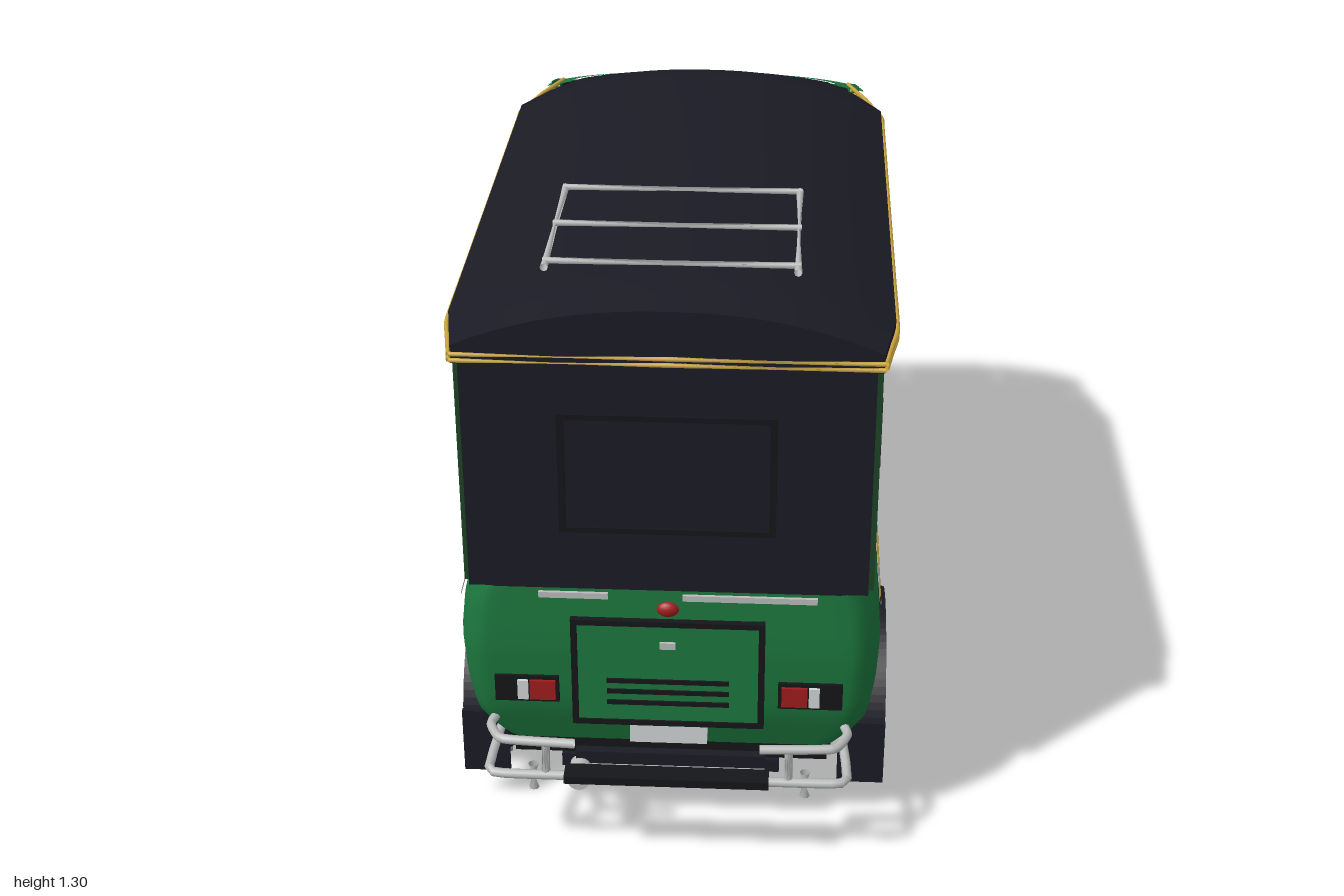
import * as THREE from 'three';

const paint = (name, color) => new THREE.MeshStandardMaterial({ name, color, side: THREE.DoubleSide });
const green = paint('body green', 0x1c773e), canvas = paint('canvas green', 0x1d4225), dark = paint('dark canopy', 0x1b1b25),
  black = paint('tyre black', 0x15161a), gold = paint('gold trim', 0xcba43e), silver = paint('silver', 0xbabcbc),
  red = paint('lamp red', 0xa01c1c), cream = paint('cream lining', 0xcfbd98), white = paint('lamp white', 0xd2d5d5);
const lerp = THREE.MathUtils.lerp, clamp = t => Math.min(1, Math.max(0, t));
const both = fn => [1, -1].forEach(fn);
// piecewise linear lookup in [[key, value], ...]
function look(table, t) {
  const i = table.findIndex(r => t <= r[0]);
  if (i < 1) return table[i < 0 ? table.length - 1 : 0][1];
  const [a, p] = table[i - 1], [b, q] = table[i];
  return p + (q - p) * (t - a) / (b - a);
}

export function createModel() {
  const g = new THREE.Group();
  g.name = 'threeWheeler';
  const add = (name, geo, mat, x = 0, y = 0, z = 0, parent = g) => {
    const m = new THREE.Mesh(geo, mat);
    m.name = name;
    m.position.set(x, y, z);
    parent.add(m);
    return m;
  };
  // box from its limits
  const box = (name, mat, x0, x1, y0, y1, z0, z1) => add(name, new THREE.BoxGeometry(Math.abs(x1 - x0), y1 - y0, z1 - z0),
    mat, (x0 + x1) / 2, (y0 + y1) / 2, (z0 + z1) / 2);
  const tube = (name, mat, r, ...pts) => add(name, new THREE.TubeGeometry(new THREE.CatmullRomCurve3(
    pts.map(p => new THREE.Vector3(...p)), false, 'catmullrom', 0.25), pts.length > 2 ? pts.length * 6 : 1, r, 8), mat);
  // grid surface from a rule (u, v) -> point
  const surface = (name, mat, fn, nu, nv) => {
    const pos = [], idx = [];
    for (let i = 0; i <= nu; i++) for (let j = 0; j <= nv; j++) pos.push(...fn(i / nu, j / nv));
    for (let i = 0; i < nu; i++) for (let j = 0; j < nv; j++) {
      const a = i * (nv + 1) + j, b = a + nv + 1;
      idx.push(a, b, a + 1, b, b + 1, a + 1);
    }
    const geo = new THREE.BufferGeometry();
    geo.setAttribute('position', new THREE.Float32BufferAttribute(pos, 3));
    geo.setIndex(idx);
    geo.computeVertexNormals();
    return add(name, geo, mat);
  };
  // rear tub, wrapping round the back with wheel arches cut in its lower edge
  const tubWidth = y => look([[.24, .36], [.3, .412], [.4, .428], [.5, .433], [.6, .422], [.65, .402]], y);
  const tubBack = y => look([[.24, .85], [.35, .89], [.5, .905], [.65, .9]], y);
  surface('rearTub', green, (u, v) => {
    const t = Math.abs(2 * u - 1), s = u < .5 ? 1 : -1, a = (t - .2) / .1 * Math.PI / 2;
    let x = 1, z = 1.1 - t;
    if (t < .2) { x = .86 * t / .2; z = .9; }
    else if (t < .3) { x = .86 + .14 * Math.sin(a); z = .8 + .1 * Math.cos(a); }
    const d = z - .53, low = t > .25 && Math.abs(d) < .2 ? Math.max(.245, .17 + Math.sqrt(.04 - d * d)) : .245;
    const y = lerp(low, .65, v);
    const shift = (tubBack(y) - .9) * clamp((z - .7) / .2) + (.05 * (y - .25) / .4 - .02) * clamp((.3 - z) / .2);
    return [s * x * tubWidth(y), y, z + shift];
  }, 120, 12);
  box('tubBulkhead', green, -.4, .4, .24, .6, .28, .3);
  box('rearSeatFront', dark, -.38, .38, .6, .69, .27, .43);
  box('rearSeat', dark, -.38, .38, .54, .6, .3, .8);
  // reclined cream backrest with dark seams
  add('rearBackrest', new THREE.BoxGeometry(.76, .46, .04), cream, 0, .81, .8).rotation.x = .22;
  for (let i = -3; i <= 3; i++) add('backrestSeam', new THREE.BoxGeometry(.01, .4, .006), black, i * .11, .815, .78).rotation.x = .22;
  // canopy panels, windows, poles and side rails
  box('rearCurtain', dark, -.4, .4, .65, 1.17, .875, .897);
  box('rearLining', cream, -.385, .385, .66, 1.14, .868, .874);
  [[.2, .214, .79, 1.04], [-.214, -.2, .79, 1.04], [-.214, .214, 1.034, 1.046], [-.214, .214, .782, .794]]
    .forEach(([a, b, c, d]) => box('rearWindowTrim', black, a, b, c, d, .89, .903));
  both(s => {
    box('canopySide', canvas, s * .395, s * .412, .65, 1.16, .425, .878);
    box('canopySideLining', cream, s * .386, s * .394, .67, 1.14, .43, .87);
    box('sideWindow', dark, s * .41, s * .419, .86, 1.015, .53, .75);
    box('sideBadge', gold, s * .41, s * .417, .69, .75, .73, .79);
    tube('rolledCurtain', canvas, .017, [s * .4, 1.135, .42], [s * .4, 1.135, -.24]);
    tube('middlePole', silver, .011, [s * .4, .62, .135], [s * .4, 1.16, .135]);
    tube('frontPole', silver, .011, [s * .4, .46, -.36], [s * .4, 1.16, -.27]);
    tube('seatRail', silver, .008, [s * .4, .8, .13], [s * .4, .8, .43]);
    tube('sideRail', silver, .009, [s * .42, .62, .12], [s * .42, .47, 0], [s * .42, .45, -.18], [s * .42, .475, -.36],
      [s * .42, .56, -.48], [s * .415, .61, -.6], [s * .375, .615, -.7], [s * .3, .615, -.79]);
    tube('doorPost', silver, .009, [s * .37, .24, -.3], [s * .37, .56, -.3]);
    // painted stripes on the tub sides
    [[silver, .585, .604, .13, .84], [gold, .512, .54, .165, .74], [gold, .468, .49, .2, .64]].forEach(([m, y0, y1, z0, z1]) =>
      surface('sideStripe', m, (u, v) => [s * (tubWidth(lerp(y0, y1, v)) + .005), lerp(y0, y1, v), lerp(z0, z1, u)], 4, 2));
  });
  for (const z of [.6, .14, -.27]) tube('roofHoop', silver, .009,
    ...[-1, -.8, -.4, 0, .4, .8, 1].map(k => [k * .4, 1.13 + .13 * (1 - k * k), z]));
  // roof shell, gable, edge, gold piping and rack
  const roofWidth = z => look([[-.7, .08], [-.68, .18], [-.66, .31], [-.55, .38], [-.42, .437], [.75, .437], [.9, .412]], z);
  const crown = z => look([[-.7, 1.185], [-.55, 1.24], [-.4, 1.285], [0, 1.295], [.75, 1.29], [.9, 1.268]], z);
  const eave = z => look([[-.7, 1.172], [-.4, 1.188]], z);
  const roofAt = (z, k) => [k * roofWidth(z), lerp(eave(z), crown(z), 1 - Math.abs(k) ** 2.3), z];
  const stations = [-.7, -.68, -.66, -.6, -.55, -.48, -.42, -.38, -.2, 0, .25, .5, .75, .83, .9];
  surface('roof', dark, (u, v) => roofAt(stations[Math.round(u * 14)], 2 * v - 1), 14, 24);
  surface('roofGable', dark, (u, v) => { const p = roofAt(.9, 2 * u - 1); return [p[0], lerp(1.15, p[1], v), .9]; }, 24, 1);
  both(s => {
    surface('roofEdge', dark, (u, v) => {
      const z = stations[Math.round(u * 14)];
      return [s * roofWidth(z), lerp(1.15, eave(z), v), z];
    }, 14, 1);
    for (const y of [1.157, 1.17]) {
      tube('goldPiping', gold, .005, ...stations.slice(2).map(z =>
        [s * (roofWidth(z) + look([[-.66, .05], [-.55, .022], [-.42, .003]], z)), y, z]));
      tube('goldPipingRear', gold, .005, [0, y, .902], [s * .414, y, .902]);
    }
    tube('rackSide', silver, .008, [s * .245, 1.29, .35], [s * .245, 1.29, .76]);
  });
  for (const z of [.36, .55, .735]) tube('rackBar', silver, .007, [-.25, 1.294, z], [.25, 1.294, z]);
  // nose, cowl, windscreen and visor
  const noseWidth = y => look([[.24, .37], [.35, .4], [.5, .415], [.62, .41], [.7, .385]], y);
  const noseDepth = y => look([[.35, .26], [.42, .29], [.52, .31], [.6, .305], [.66, .27], [.7, .2]], y);
  const nose = (u, v) => {
    const t = Math.abs(2 * u - 1), s = u < .5 ? 1 : -1, a = Math.min(1, t / .55) * Math.PI / 2;
    const reach = Math.max(0, Math.cos(a)) ** 1.4;
    const z0 = t > .55 ? -.6 + (t - .55) / .45 * .26 : -.6 - .31 * reach;
    const y = lerp(look([[-1, .4], [-.8, .37], [-.68, .33], [-.62, .24]], z0),
      look([[-.63, .7], [-.57, .66], [-.5, .57], [-.42, .5], [-.34, .46]], z0), v);
    return [s * noseWidth(y) * Math.sin(a), y, t > .55 ? z0 : -.6 - noseDepth(y) * reach];
  };
  surface('noseBody', green, nose, 72, 16);
  const arc = (u, w, y, z, d) => [w * Math.cos(u * Math.PI), y, z - d * Math.sin(u * Math.PI)];
  const span = (name, mat, p, q) => surface(name, mat, (u, v) => p(u).map((a, i) => lerp(a, q(u)[i], v)), 36, 2);
  span('cowl', green, u => nose(.225 + .55 * u, 1), u => arc(u, .37, .718, -.66, .1));
  span('windscreen', dark, u => arc(u, .37, .71, -.665, .105), u => arc(u, .36, 1.17, -.62, .07));
  span('screenHeader', green, u => arc(u, .37, 1.13, -.63, .077), u => arc(u, .365, 1.172, -.62, .075));
  span('visor', green, u => arc(u, .335, 1.182, -.61, .085), u => arc(u, .4, 1.158, -.64, .13));
  span('dashTop', dark, u => arc(u, .37, .712, -.66, .1), u => arc(u, .36, .69, -.61, 0));
  both(s => {
    tube('screenPillar', green, .024, [s * .375, .68, -.69], [s * .365, 1.17, -.635]);
    tube('mirrorArm', black, .006, [s * .37, .97, -.66], [s * .43, .94, -.65]);
    box('mirror', black, s * .415, s * .444, .895, .985, -.675, -.615);
    box('indicatorHousing', black, s * .375, s * .402, .622, .66, -.69, -.645);
    box('indicator', gold, s * .4, s * .408, .632, .65, -.68, -.655);
  });
  tube('wiperArm', black, .005, [-.02, .73, -.778], [.1, .9, -.752]);
  tube('wiperBlade', black, .005, [.08, .8, -.762], [0, .89, -.765]);
  // cabin
  box('floor', black, -.37, .37, .19, .245, -.63, .34);
  box('rearFloor', black, -.33, .33, .2, .245, .34, .84);
  box('firewall', green, -.36, .36, .24, .65, -.64, -.62);
  box('dashboard', dark, -.36, .36, .645, .69, -.65, -.61);
  box('noseUnderside', black, -.26, .26, .37, .385, -.8, -.62);
  both(s => {
    box('sill', green, s * .36, s * .4, .235, .25, -.36, .1);
    box('chassisRail', dark, s * .2, s * .23, .17, .2, -.6, .85);
  });
  for (const z of [-.4, -.05, .3]) box('crossMember', dark, -.36, .36, .175, .2, z, z + .03);
  box('engineBox', green, -.36, .36, .245, .56, -.07, .06);
  box('driverSeatBase', dark, -.24, .24, .245, .55, -.28, -.07);
  box('driverSeat', dark, -.25, .25, .55, .6, -.36, -.12);
  box('driverSeatBack', dark, -.2, .2, .6, .83, -.108, -.048).rotation.x = .08;
  tube('steeringColumn', black, .015, [0, .4, -.72], [0, .8, -.59]);
  tube('handlebar', black, .011, [-.24, .84, -.54], [-.12, .86, -.58], [0, .79, -.6], [.12, .86, -.58], [.24, .84, -.54]);
  // wheels with tread lugs and hub trim
  const tyre = new THREE.LatheGeometry([[.09, -.03], [.105, -.042], [.14, -.045], [.158, -.036], [.162, 0], [.158, .036],
    [.14, .045], [.105, .042], [.09, .03]].map(p => new THREE.Vector2(...p)), 36);
  const wheel = (x, z) => {
    const w = new THREE.Group(), disc = (name, m, r, h, ...at) => add(name, new THREE.CylinderGeometry(r, r, h, 20), m, ...at, w);
    w.name = 'wheel';
    w.position.set(x, .166, z);
    w.rotation.z = -Math.PI / 2;
    g.add(w);
    add('tyre', tyre, black, 0, 0, 0, w);
    disc('rim', dark, .1, .06, 0, 0, 0);
    for (let i = 0, a = 0; i < 28; i++, a += Math.PI / 14) add('treadLug', new THREE.BoxGeometry(.008, .034, .014), black,
      Math.cos(a) * .16, i % 2 ? .022 : -.022, Math.sin(a) * .16, w).rotation.y = -a;
    both(s => {
      add('rimRing', new THREE.TorusGeometry(.089, .007, 6, 32), silver, 0, s * .035, 0, w).rotation.x = Math.PI / 2;
      disc('hub', silver, .024, .02, 0, s * .036, 0);
      for (let i = 0; i < 5; i++) disc('wheelNut', silver, .007, .012, Math.cos(i * 1.2566) * .05, s * .034, Math.sin(i * 1.2566) * .05);
    });
  };
  wheel(0, -.81);
  const fender = (name, mat, x, y, z, r0, r1, w, a0, a1) => {
    const sh = new THREE.Shape().absarc(0, 0, r1, a0, a1, false).absarc(0, 0, r0, a1, a0, true);
    const geo = new THREE.ExtrudeGeometry(sh, { depth: w, bevelEnabled: false, curveSegments: 20 });
    add(name, geo.translate(0, 0, -w / 2).rotateY(Math.PI / 2), mat, x, y, z);
  };
  both(s => {
    wheel(s * .41, .53);
    fender('rearFender', dark, s * .4, .17, .53, .197, .226, .11, .1, Math.PI - .1);
    fender('wheelWell', black, s * .335, .17, .53, .02, .22, .01, 0, Math.PI);
    box('mudflap', dark, s * .355, s * .455, .085, .24, .755, .765);
    tube('forkLeg', silver, .009, [s * .065, .166, -.81], [s * .075, .4, -.7]);
    for (let i = 0; i < 6; i++) add('springCoil', new THREE.TorusGeometry(.02, .005, 6, 12), silver,
      s * .07, .23 + i * .022, -.78 + i * .01).rotation.x = 1.3;
  });
  fender('frontFender', green, 0, .166, -.81, .178, .195, .13, .8, 2.3);
  tube('rearAxle', dark, .022, [-.37, .166, .53], [.37, .166, .53]);
  box('differential', dark, -.09, .09, .125, .2, .45, .62);
  box('frontMudflap', dark, -.05, .05, .085, .24, -.635, -.625);
  tube('exhaust', silver, .014, [-.06, .15, .5], [-.1, .15, .66], [-.19, .17, .75], [-.19, .175, .8]);
  add('muffler', new THREE.CylinderGeometry(.023, .023, .15, 16), silver, -.19, .175, .835).rotation.x = Math.PI / 2;
  // tailgate, lamps and rear trim
  box('tailgate', green, -.19, .19, .34, .575, .89, .912);
  both(s => {
    box('tailgateFrame', black, s * .184, s * .197, .33, .585, .885, .916);
    box('tailLampHousing', black, s * .225, s * .357, .374, .436, .87, .905);
    box('tailLamp', red, s * .232, s * .285, .382, .428, .89, .911);
    box('reverseLamp', white, s * .288, s * .31, .382, .428, .89, .911);
    box('rearTopStrip', silver, s > 0 ? .03 : -.26, s > 0 ? .3 : -.12, .63, .643, .89, .907);
    tube('rearBumper', silver, .01, [0, .234, .965], [s * .35, .234, .965], [s * .37, .235, .92], [s * .36, .25, .82]);
    tube('rearBumperTop', silver, .01, [s * .19, .31, .96], [s * .34, .31, .95], [s * .37, .31, .9], [s * .36, .31, .86]);
    tube('bumperPost', silver, .009, [s * .25, .235, .965], [s * .25, .31, .955]);
    tube('towLug', silver, .011, [s * .285, .15, .9], [s * .285, .21, .9]);
  });
  for (const y of [.335, .578]) box('tailgateFrame', black, -.19, .19, y - .006, y + .006, .885, .916);
  for (const y of [.385, .412, .438]) box('tailgateVent', black, -.125, .125, y - .005, y + .005, .905, .916);
  box('tailgateLatch', silver, -.016, .016, .52, .535, .905, .918);
  box('rearPlate', white, -.08, .08, .28, .325, .87, .907);
  add('highStopLamp', new THREE.SphereGeometry(.023, 16, 10), red, 0, .607, .9).scale.set(1, .75, .6);
  box('rearStep', black, -.21, .21, .238, .256, .955, 1);
  box('rearCrossBeam', dark, -.2, .2, .185, .215, .83, .86);
  // front lamps, grille and bumper
  box('headLamp', silver, -.072, .072, .56, .625, -.918, -.885);
  box('headLampLens', white, -.058, .058, .57, .615, -.922, -.915);
  box('grille', black, -.074, .074, .475, .55, -.922, -.885);
  for (const y of [.495, .513, .531]) box('grilleBar', silver, -.06, .06, y - .003, y + .003, -.926, -.92);
  add('noseLamp', new THREE.SphereGeometry(.022, 14, 8), red, 0, .667, -.872).scale.set(1.2, .6, .6);
  const bumper = [[.37, -.66], [.34, -.82], [.25, -.94], [.13, -.975]];
  for (const y of [.29, .38]) tube('frontBumper', silver, .011, ...bumper.map(([x, z]) => [x, y, z]), [0, y, -.985],
    ...bumper.slice().reverse().map(([x, z]) => [-x, y, z]));
  both(s => {
    [[.34, -.82], [.2, -.956]].forEach(([x, z]) => tube('bumperUpright', silver, .009, [s * x, .29, z], [s * x, .38, z]));
    add('spotLamp', new THREE.SphereGeometry(.03, 16, 10), silver, s * .13, .415, -.955).scale.z = .7;
    box('bumperPad', black, s * .1, s * .14, .285, .385, -.988, -.965);
  });
  box('frontPlate', white, -.075, .075, .31, .36, -.99, -.98);
  return g;
}
